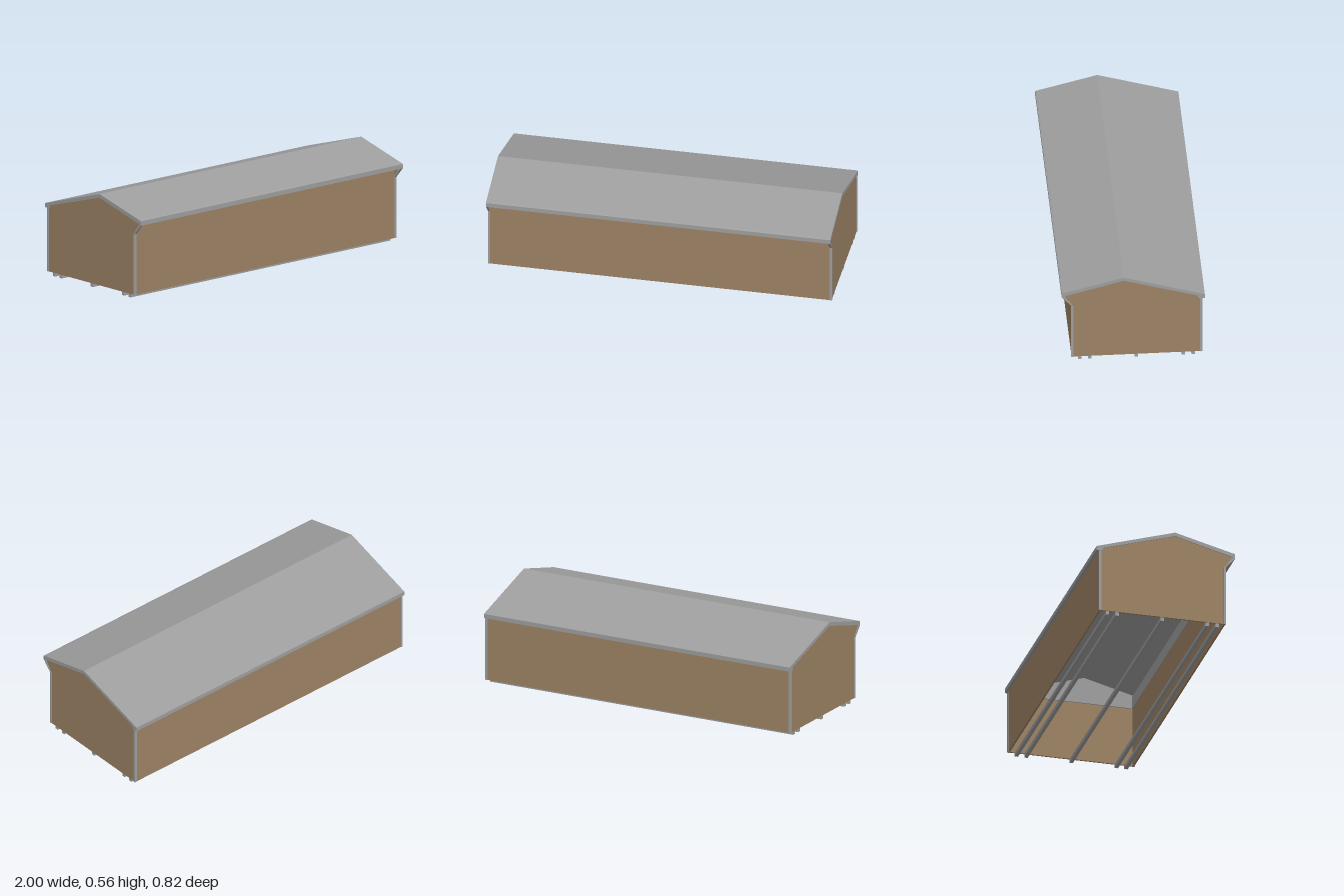
import * as THREE from 'three';

export function createModel() {
  const model = new THREE.Group();
  const grey = new THREE.MeshStandardMaterial({ color: 0x9e9e9e });
  grey.name = 'greyMetal';
  const brown = new THREE.MeshStandardMaterial({ color: 0x9c8264 });
  brown.name = 'brownPanel';

  const add = (name, geometry, material) => {
    const mesh = new THREE.Mesh(geometry, material);
    mesh.name = name;
    model.add(mesh);
  };
  // Box given by its limits on each axis
  const box = (name, material, x0, x1, y0, y1, z0, z1) => add(name,
    new THREE.BoxGeometry(x1 - x0, y1 - y0, z1 - z0)
      .translate((x0 + x1) / 2, (y0 + y1) / 2, (z0 + z1) / 2), material);
  // Cross-section of [z, y] points, extruded from x0 to x1
  const section = (name, material, points, x0, x1) => {
    const shape = new THREE.Shape(points.map(([z, y]) => new THREE.Vector2(z, y)));
    add(name, new THREE.ExtrudeGeometry(shape, { depth: x1 - x0, bevelEnabled: false })
      .rotateY(-Math.PI / 2).translate(x1, 0, 0), material);
  };

  const floorY = 0.022;

  // Roof: uneven gable with a front fascia and a rear eave
  section('roof', grey, [
    [0.41, 0.44], [0.41, 0.466], [0.4, 0.47], [0.055, 0.56], [-0.408, 0.42],
    [-0.408, 0.395], [-0.37, 0.395], [-0.37, 0.412], [0.055, 0.538], [0.395, 0.447],
  ], -1, 1);

  // Long walls
  box('frontWall', brown, -0.987, 0.987, floorY, 0.458, 0.343, 0.353);
  box('frontWallLining', grey, -0.98, 0.98, 0.38, 0.455, 0.339, 0.343);
  box('backWall', brown, -0.987, 0.987, floorY, 0.398, -0.391, -0.381);

  for (const side of [-1, 1]) {
    const span = (a, b) => (side > 0 ? [a, b] : [-b, -a]);
    // End wall with a flared front top corner
    section('endWall', brown, [
      [0.344, floorY], [0.344, 0.376], [0.396, 0.447], [0.055, 0.539],
      [-0.371, 0.413], [-0.371, 0.396], [-0.381, 0.396], [-0.381, floorY],
    ], ...span(0.986, 0.996));
    // Inner face of the gable
    section('gableLining', grey, [
      [0.342, 0.38], [0.342, 0.461], [0.055, 0.538], [-0.37, 0.412], [-0.37, 0.38],
    ], ...span(0.98, 0.986));
    // Corner trim: the front post continues up the flare to the fascia
    section('frontCornerTrim', grey, [
      [0.356, floorY], [0.356, 0.38], [0.41, 0.44], [0.395, 0.447], [0.343, 0.375], [0.343, floorY],
    ], ...span(0.986, 0.999));
    box('backCornerPost', grey, ...span(0.986, 0.999), floorY, 0.396, -0.394, -0.38);
  }

  // Rails running along the open underside
  for (const z of [0.305, 0.248, -0.018, -0.285, -0.342]) {
    box('floorRail', grey, -0.992, 0.992, 0, floorY, z - 0.01, z + 0.01);
  }

  return model;
}
